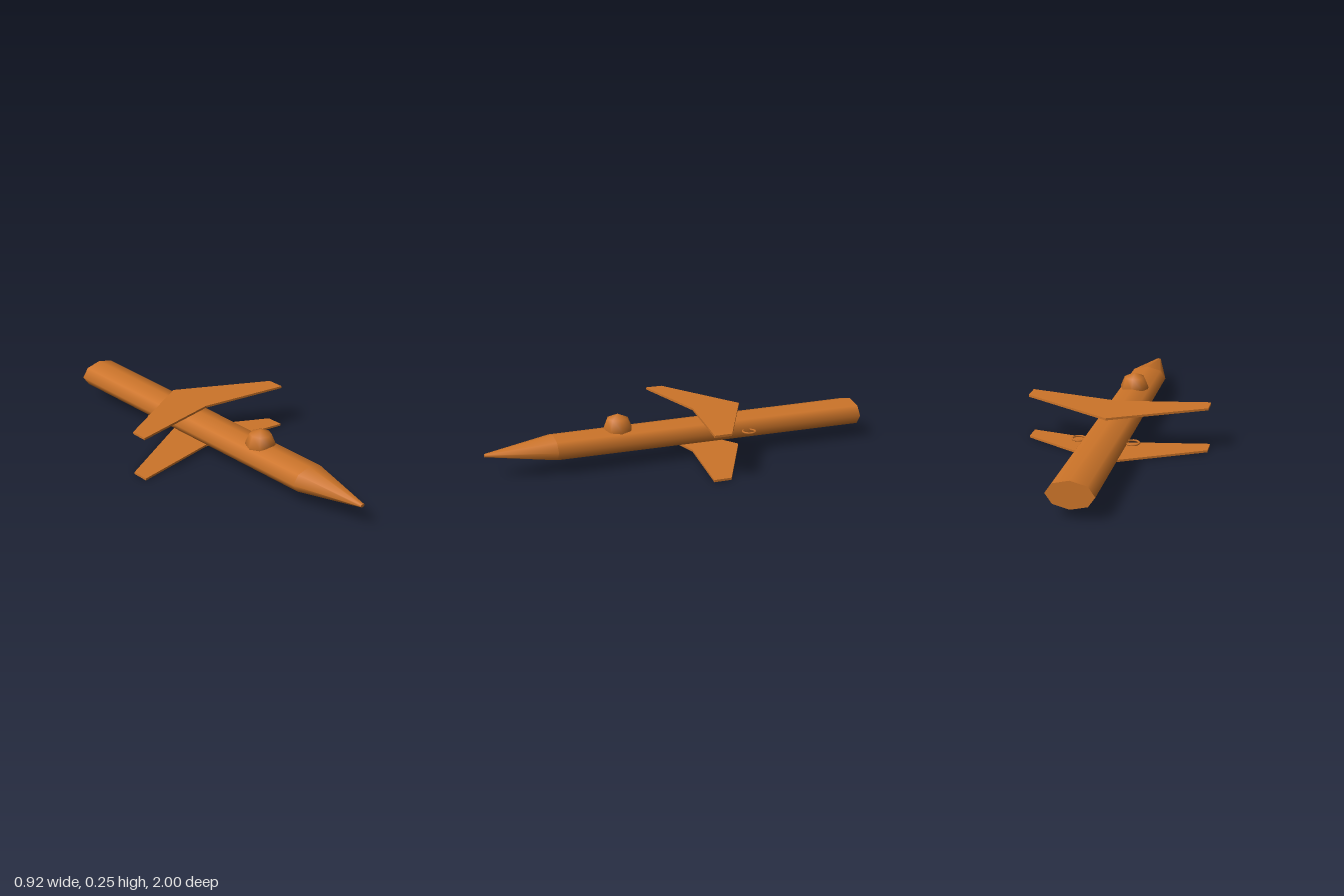
import * as THREE from 'three';

const AXIS_Y = 0.118; // height of the fuselage centreline

export function createModel() {
  const model = new THREE.Group();
  const paint = new THREE.MeshStandardMaterial({ color: 0xcc7429 });

  const add = (name, geometry, x, y, z) => {
    const mesh = new THREE.Mesh(geometry, paint);
    mesh.name = name;
    mesh.position.set(x, y, z);
    model.add(mesh);
    return mesh;
  };

  // Flattened eight-sided tube running along z
  const tube = (name, frontRadius, rearRadius, zFront, zRear) => {
    const geometry = new THREE.CylinderGeometry(frontRadius, rearRadius, zFront - zRear, 8);
    geometry.rotateX(Math.PI / 2).scale(1, 0.6, 1);
    add(name, geometry, 0, AXIS_Y, (zFront + zRear) / 2);
  };
  tube('fuselage', 0.104, 0.114, 0.66, -1);
  tube('noseCone', 0.013, 0.104, 1, 0.66);

  // Faceted dome canopy
  add('canopy', new THREE.SphereGeometry(0.076, 8, 4), 0, 0.175, 0.325);

  // Forward-swept wings, one above and one below the fuselage
  const plan = new THREE.Shape([
    [0, -0.08], [0.46, 0], [0.46, -0.09], [0, -0.34], [-0.46, -0.09], [-0.46, 0],
  ].map(([x, z]) => new THREE.Vector2(x, z)));
  const wing = new THREE.ExtrudeGeometry(plan, { depth: 0.011, bevelEnabled: false });
  wing.rotateX(Math.PI / 2); // shape y becomes z, thickness runs downwards
  add('upperWing', wing, 0, 0.233, 0);
  add('lowerWing', wing, 0, 0.011, 0);

  // Small horizontal rings on both flanks
  const ring = new THREE.TorusGeometry(0.033, 0.005, 6, 12).rotateX(Math.PI / 2);
  for (const side of [1, -1]) {
    add(side > 0 ? 'leftRing' : 'rightRing', ring, side * 0.133, AXIS_Y, -0.337);
  }

  return model;
}
